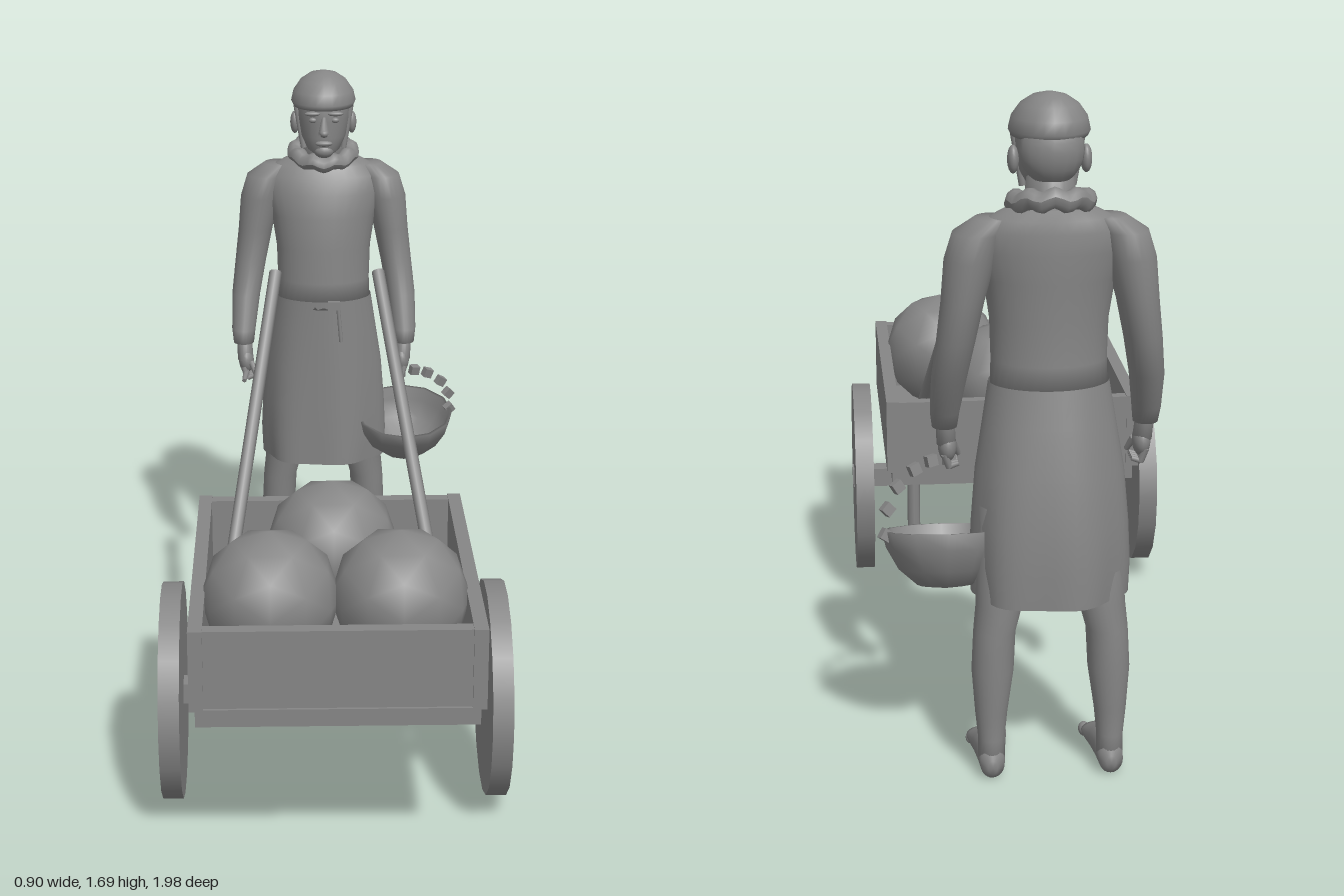
import * as THREE from 'three';

const grey = new THREE.MeshStandardMaterial({ color: 0x868686, side: THREE.DoubleSide });
grey.name = 'stone grey';

function add(parent, name, geo, x = 0, y = 0, z = 0) {
  const m = new THREE.Mesh(geo, grey);
  m.name = name;
  m.position.set(x, y, z);
  parent.add(m);
  return m;
}
const box = (p, name, w, h, d, x, y, z) => add(p, name, new THREE.BoxGeometry(w, h, d), x, y, z);
function ball(p, name, rx, ry, rz, x, y, z) {
  const m = add(p, name, new THREE.SphereGeometry(1, 16, 12), x, y, z);
  m.scale.set(rx, ry, rz);
  return m;
}

// Straight rod between two points
function rod(p, name, a, b, r, r2 = r, sides = 8) {
  const A = new THREE.Vector3(...a), B = new THREE.Vector3(...b);
  const m = add(p, name, new THREE.CylinderGeometry(r2, r, A.distanceTo(B), sides));
  m.position.copy(A).lerp(B, 0.5);
  m.quaternion.setFromUnitVectors(new THREE.Vector3(0, 1, 0), B.sub(A).normalize());
  return m;
}

// Smooth skin over rings [x, y, z, rx, rz] listed from bottom to top
function loft(rings, { n = 24, capped = true, wave = null } = {}) {
  const pos = [], idx = [];
  rings.forEach(([x, y, z, rx, rz], j) => {
    for (let i = 0; i < n; i++) {
      const a = (i / n) * Math.PI * 2;
      const k = wave ? wave(a, j / (rings.length - 1)) : 1;
      pos.push(x + Math.cos(a) * rx * k, y, z + Math.sin(a) * rz * k);
      if (j < rings.length - 1) {
        const s = (i + 1) % n, q = j * n;
        idx.push(q + i, q + n + i, q + s, q + s, q + n + i, q + n + s);
      }
    }
  });
  if (capped) {
    const last = (rings.length - 1) * n, c = pos.length / 3;
    pos.push(...rings[0].slice(0, 3), ...rings[rings.length - 1].slice(0, 3));
    for (let i = 0; i < n; i++) {
      const s = (i + 1) % n;
      idx.push(c, i, s, c + 1, last + s, last + i);
    }
  }
  const g = new THREE.BufferGeometry();
  g.setAttribute('position', new THREE.Float32BufferAttribute(pos, 3));
  g.setIndex(idx);
  g.computeVertexNormals();
  return g;
}

function buildCart() {
  const g = new THREE.Group();
  g.name = 'cart';
  // Tray
  box(g, 'floor', 0.69, 0.045, 0.89, 0, 0.4425, 0.555);
  box(g, 'frontBoard', 0.65, 0.205, 0.035, 0, 0.565, 0.975);
  box(g, 'backBoard', 0.65, 0.205, 0.035, 0, 0.565, 0.12);
  // Axle
  box(g, 'axleBlock', 0.59, 0.095, 0.1, 0, 0.373, 0.553);
  box(g, 'axle', 0.9, 0.055, 0.055, 0, 0.302, 0.553);
  for (const s of [-1, 1]) {
    box(g, 'sideBoard', 0.035, 0.21, 0.9, s * 0.342, 0.565, 0.55);
    add(g, 'wheel', new THREE.CylinderGeometry(0.283, 0.283, 0.053, 18), s * 0.419, 0.302, 0.55)
      .rotation.z = Math.PI / 2;
    rod(g, 'prop', [s * 0.284, 0.21, 0.143], [s * 0.284, 0.43, 0.143], 0.018);
    rod(g, 'handle', [s * 0.285, 0.46, 0.335], [s * 0.146, 1.2, -0.292], 0.018);
  }
  // Round load
  for (const [x, z] of [[0, 0.39], [-0.162, 0.735], [0.162, 0.735]]) {
    add(g, 'roundLoad', new THREE.IcosahedronGeometry(0.176, 1), x, 0.645, z);
  }
  return g;
}

function buildHead(g) {
  add(g, 'neck', loft([[0, 1.38, -0.83, 0.07, 0.07], [0, 1.5, -0.81, 0.055, 0.065]]));
  add(g, 'face', loft([
    [0, 1.445, -0.735, 0.025, 0.025], [0, 1.46, -0.75, 0.048, 0.06], [0, 1.5, -0.778, 0.069, 0.09],
    [0, 1.55, -0.785, 0.078, 0.1], [0, 1.6, -0.79, 0.082, 0.106], [0, 1.64, -0.79, 0.07, 0.09],
  ]));
  // Close cap, lower at the nape
  add(g, 'cap', loft([
    [0, 1.585, -0.785, 0.09, 0.11], [0, 1.6, -0.787, 0.097, 0.121], [0, 1.63, -0.79, 0.09, 0.112],
    [0, 1.66, -0.793, 0.069, 0.088], [0, 1.678, -0.795, 0.042, 0.056], [0, 1.686, -0.795, 0.012, 0.016],
  ]));
  ball(g, 'nape', 0.077, 0.085, 0.06, 0, 1.56, -0.845);
  rod(g, 'nose', [0, 1.512, -0.684], [0, 1.565, -0.69], 0.018, 0.007, 10);
  ball(g, 'noseTip', 0.014, 0.012, 0.016, 0, 1.518, -0.679);
  ball(g, 'mouth', 0.026, 0.009, 0.012, 0, 1.485, -0.692);
  ball(g, 'chin', 0.03, 0.022, 0.025, 0, 1.46, -0.71);
  for (const s of [-1, 1]) {
    ball(g, 'eye', 0.012, 0.008, 0.008, s * 0.033, 1.555, -0.694);
    ball(g, 'brow', 0.024, 0.007, 0.01, s * 0.034, 1.575, -0.69);
    ball(g, 'ear', 0.014, 0.034, 0.022, s * 0.086, 1.53, -0.8);
    rod(g, 'capStrap', [s * 0.082, 1.59, -0.765], [s * 0.06, 1.46, -0.76], 0.009);
  }
  // Gathered collar
  const collar = new THREE.TorusGeometry(0.083, 0.026, 10, 40);
  const p = collar.attributes.position;
  for (let i = 0; i < p.count; i++) {
    const a = Math.atan2(p.getY(i), p.getX(i));
    p.setZ(i, p.getZ(i) + 0.006 * Math.sin(a * 9));
  }
  collar.computeVertexNormals();
  add(g, 'collar', collar, 0, 1.433, -0.825).rotation.x = Math.PI / 2 + 0.24;
}

function buildArm(g, s) {
  add(g, 'sleeve', loft([
    [s * 0.247, 0.86, -0.725, 0.031, 0.036], [s * 0.247, 0.9, -0.737, 0.036, 0.043],
    [s * 0.239, 1.0, -0.785, 0.043, 0.056], [s * 0.224, 1.1, -0.815, 0.047, 0.062],
    [s * 0.208, 1.2, -0.825, 0.052, 0.068], [s * 0.19, 1.3, -0.825, 0.062, 0.075],
    [s * 0.172, 1.365, -0.827, 0.06, 0.072], [s * 0.14, 1.4, -0.83, 0.04, 0.05],
  ]));
  add(g, 'wrist', loft([
    [s * 0.242, 0.81, -0.71, 0.024, 0.032], [s * 0.246, 0.88, -0.73, 0.023, 0.026],
  ]));
  ball(g, 'palm', 0.023, 0.04, 0.036, s * 0.24, 0.805, -0.712);
  // Curled fingers; the right forefinger points ahead
  for (let i = 0; i < 4; i++) {
    const z = -0.685 - i * 0.017;
    rod(g, 'finger', [s * 0.248, 0.79, z], [s * 0.236, 0.755, z + 0.006], 0.009, 0.009);
    rod(g, 'fingerTip', [s * 0.236, 0.757, z + 0.006], [s * 0.213, 0.765, z + 0.004], 0.008, 0.006);
  }
  rod(g, 'thumb', [s * 0.225, 0.805, -0.69], [s * 0.21, 0.77, -0.67], 0.01, 0.007);
  if (s < 0) rod(g, 'pointingFinger', [-0.24, 0.775, -0.69], [-0.246, 0.76, -0.642], 0.01, 0.007);
}

function buildLeg(g, s) {
  add(g, 'leg', loft([
    [s * 0.147, 0.04, -0.875, 0.033, 0.038], [s * 0.147, 0.1, -0.872, 0.033, 0.037],
    [s * 0.147, 0.17, -0.87, 0.04, 0.044], [s * 0.143, 0.28, -0.866, 0.052, 0.056],
    [s * 0.138, 0.38, -0.862, 0.052, 0.06], [s * 0.125, 0.45, -0.855, 0.058, 0.066],
    [s * 0.11, 0.7, -0.835, 0.068, 0.08],
  ]));
  // Bare foot, heel to toe
  const foot = loft([
    [0, -0.917, -0.035, 0.012, 0.018], [0, -0.905, -0.04, 0.03, 0.037], [0, -0.85, -0.05, 0.036, 0.05],
    [0, -0.79, -0.043, 0.042, 0.043], [0, -0.72, -0.028, 0.05, 0.027], [0, -0.69, -0.022, 0.048, 0.021],
  ]).rotateX(Math.PI / 2);
  add(g, 'foot', foot, s * 0.147, 0, 0);
  for (let i = 0; i < 5; i++) {
    const r = i ? 0.011 : 0.015;
    ball(g, 'toe', r, r * 1.2, 0.022, s * (0.108 + i * 0.02), 0.018, -0.682 - i * 0.006);
  }
}

function buildPerson() {
  const g = new THREE.Group();
  g.name = 'person';
  buildHead(g);
  // Tunic
  add(g, 'tunicTop', loft([
    [0, 0.97, -0.797, 0.143, 0.112], [0, 1.05, -0.797, 0.14, 0.108], [0, 1.15, -0.797, 0.143, 0.108],
    [0, 1.25, -0.803, 0.158, 0.108], [0, 1.32, -0.812, 0.178, 0.103], [0, 1.37, -0.82, 0.178, 0.093],
    [0, 1.4, -0.825, 0.145, 0.084], [0, 1.425, -0.828, 0.095, 0.075],
  ], { n: 32 }));
  const fold = (a, t) => 1 + 0.045 * (1 - t) * Math.sin(a * 6 + 0.6);
  add(g, 'skirt', loft([
    [0, 0.465, -0.83, 0.185, 0.145], [0, 0.55, -0.83, 0.19, 0.145], [0, 0.65, -0.828, 0.187, 0.142],
    [0, 0.78, -0.82, 0.178, 0.134], [0, 0.9, -0.808, 0.16, 0.122], [0, 0.995, -0.798, 0.146, 0.113],
  ], { n: 48, capped: false, wave: fold }));
  // Belt clasp and its tail
  box(g, 'claspPlate', 0.038, 0.026, 0.018, 0.03, 0.986, -0.68);
  rod(g, 'beltTail', [0.043, 0.975, -0.683], [0.052, 0.87, -0.683], 0.006);
  for (const s of [-1, 1]) {
    buildArm(g, s);
    buildLeg(g, s);
  }
  return g;
}

function buildBasin() {
  const g = new THREE.Group();
  g.name = 'hangingBasin';
  // Hollow bowl tipped forward
  const profile = [[0, -0.135], [0.07, -0.125], [0.115, -0.085], [0.145, -0.03], [0.153, 0.01],
    [0.143, 0.01], [0.135, -0.03], [0.105, -0.078], [0.06, -0.113], [0, -0.12]];
  const bowl = new THREE.LatheGeometry(profile.map(([x, y]) => new THREE.Vector2(x, y)), 12);
  add(g, 'bowl', bowl, 0.252, 0.602, -0.778).rotation.x = 0.26;
  // Chain links from the hand to the rim
  const links = [[0.235, 0.765, -0.7], [0.28, 0.768, -0.715], [0.322, 0.753, -0.733],
    [0.365, 0.718, -0.757], [0.391, 0.67, -0.783], [0.397, 0.612, -0.807]];
  links.forEach(([x, y, z], i) => {
    box(g, 'chainLink', 0.027, 0.027, 0.022, x, y, z).rotation.set(0.2, 0.4, -0.2 * i);
  });
  return g;
}

export function createModel() {
  const model = new THREE.Group();
  model.name = 'porterWithCart';
  model.add(buildCart(), buildPerson(), buildBasin());
  return model;
}
